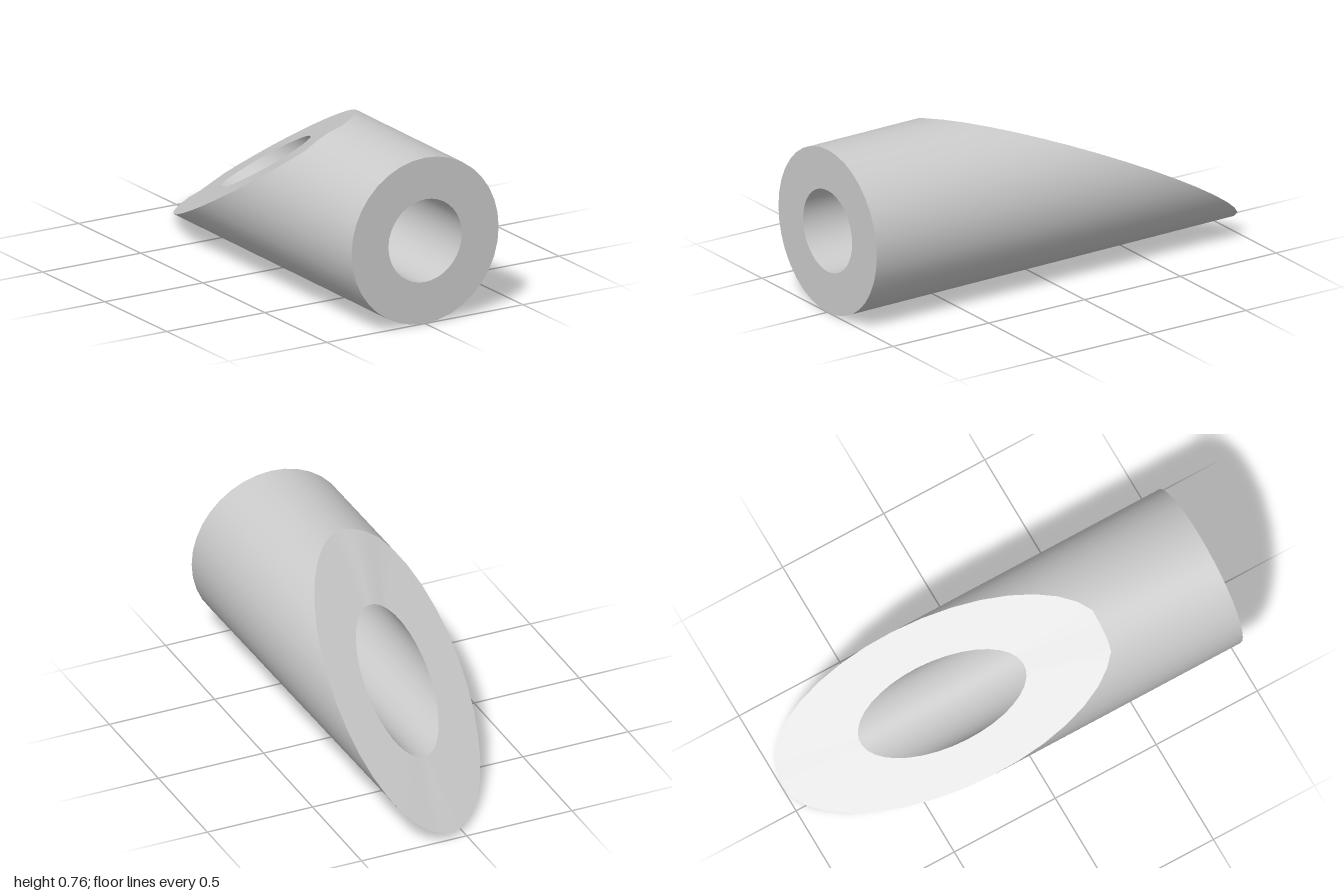
import * as THREE from 'three';

const SIDES = 36, OUTER = 0.375, INNER = 0.187;

// Ring of points at the square end or on the slanted cut; the axis leans very slightly.
function ring(radius, isCut) {
  const points = [];
  for (let i = 0; i < SIDES; i++) {
    const a = (i / SIDES) * Math.PI * 2;
    const x = radius * Math.cos(a), y = radius * Math.sin(a);
    const z = isCut ? THREE.MathUtils.clamp(-0.28 - 0.78 * x + 1.79 * y, -1, 0.43) : 1;
    const along = 1 - z;
    points.push(new THREE.Vector3(x + 0.001 - 0.005 * along, y + 0.376 + 0.01 * along, z));
  }
  return points;
}

// Closed band of faces from ring a to ring b, with smooth normals inside the band.
function band(name, a, b, material) {
  const geometry = new THREE.BufferGeometry().setFromPoints([...a, ...b]);
  const index = [];
  for (let i = 0; i < SIDES; i++) {
    const j = (i + 1) % SIDES;
    index.push(i, j, SIDES + j, i, SIDES + j, SIDES + i);
  }
  geometry.setIndex(index);
  geometry.computeVertexNormals();
  const mesh = new THREE.Mesh(geometry, material);
  mesh.name = name;
  return mesh;
}

export function createModel() {
  const group = new THREE.Group();
  group.name = 'slantCutTube';
  const material = new THREE.MeshStandardMaterial({ color: 0xcccccc });

  const outerEnd = ring(OUTER, false), innerEnd = ring(INNER, false);
  const outerCut = ring(OUTER, true), innerCut = ring(INNER, true);

  group.add(
    band('outerWall', outerCut, outerEnd, material),
    band('squareEnd', outerEnd, innerEnd, material),
    band('bore', innerEnd, innerCut, material),
    band('slantedCut', innerCut, outerCut, material),
  );
  return group;
}
